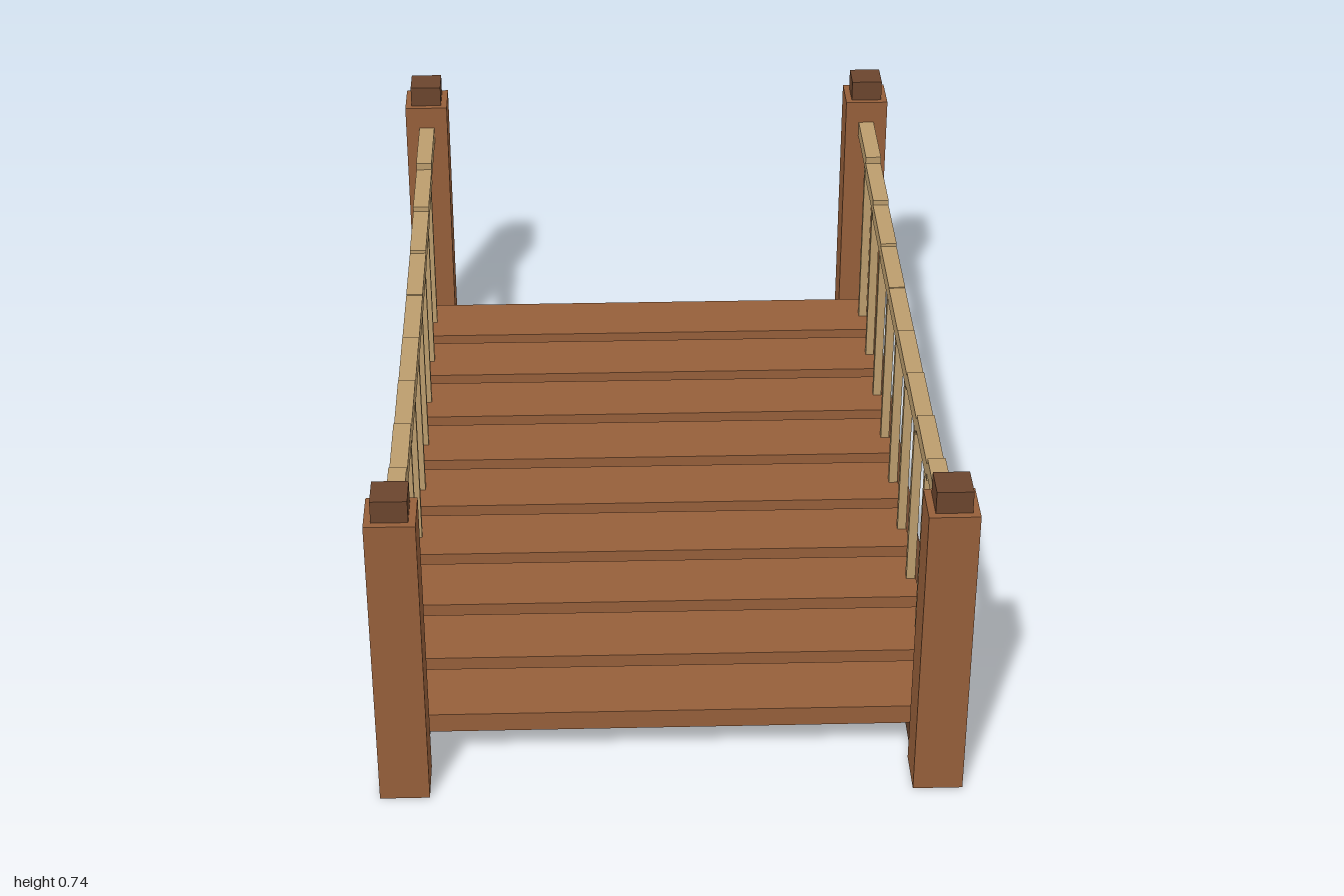
import * as THREE from 'three';

const wood = new THREE.MeshStandardMaterial({ color: 0x965f3a });
wood.name = 'wood';
const darkWood = new THREE.MeshStandardMaterial({ color: 0x6b452d });
darkWood.name = 'darkWood';
const paleWood = new THREE.MeshStandardMaterial({ color: 0xbc9d6d });
paleWood.name = 'paleWood';

// Box standing with its underside at the given y
function addBox(parent, name, material, [w, h, d], [x, y, z]) {
  const mesh = new THREE.Mesh(new THREE.BoxGeometry(w, h, d), material);
  mesh.name = name;
  mesh.position.set(x, y + h / 2, z);
  parent.add(mesh);
}

export function createModel() {
  const bridge = new THREE.Group();
  bridge.name = 'plankBridge';

  const count = 9;
  const spacing = 0.199;
  const sideX = 0.563;
  const plankTop = 0.123;
  const railHeight = 0.038;

  // Deck planks
  const deck = new THREE.Group();
  deck.name = 'deck';
  bridge.add(deck);
  for (let i = 0; i < count; i++) {
    const z = (i - (count - 1) / 2) * spacing;
    addBox(deck, 'plank', wood, [1.15, plankTop - 0.078, 0.16], [0, 0.078, z]);
  }

  for (const side of [-1, 1]) {
    const x = side * sideX;
    const railing = new THREE.Group();
    railing.name = side > 0 ? 'leftSide' : 'rightSide';
    bridge.add(railing);

    // Beam under the deck ends
    addBox(railing, 'beam', darkWood, [0.09, 0.078, 1.8], [x, 0, 0]);

    // Corner posts with caps
    for (const end of [-1, 1]) {
      addBox(railing, 'post', wood, [0.105, 0.69, 0.105], [x, 0, end * 0.9475]);
      addBox(railing, 'postCap', darkWood, [0.075, 0.05, 0.075], [x, 0.69, end * 0.9475]);
    }

    // Balusters carrying a stepped, sagging handrail
    for (let i = 0; i < count; i++) {
      const t = (i - (count - 1) / 2) / ((count - 1) / 2);
      const z = t * spacing * (count - 1) / 2;
      const railBase = 0.556 + 0.04 * t * t;
      addBox(railing, 'baluster', paleWood, [0.02, railBase - plankTop, 0.02], [x, plankTop, z]);
      addBox(railing, 'handrail', paleWood, [0.038, railHeight, 0.2], [x, railBase, z]);
    }
  }
  return bridge;
}
